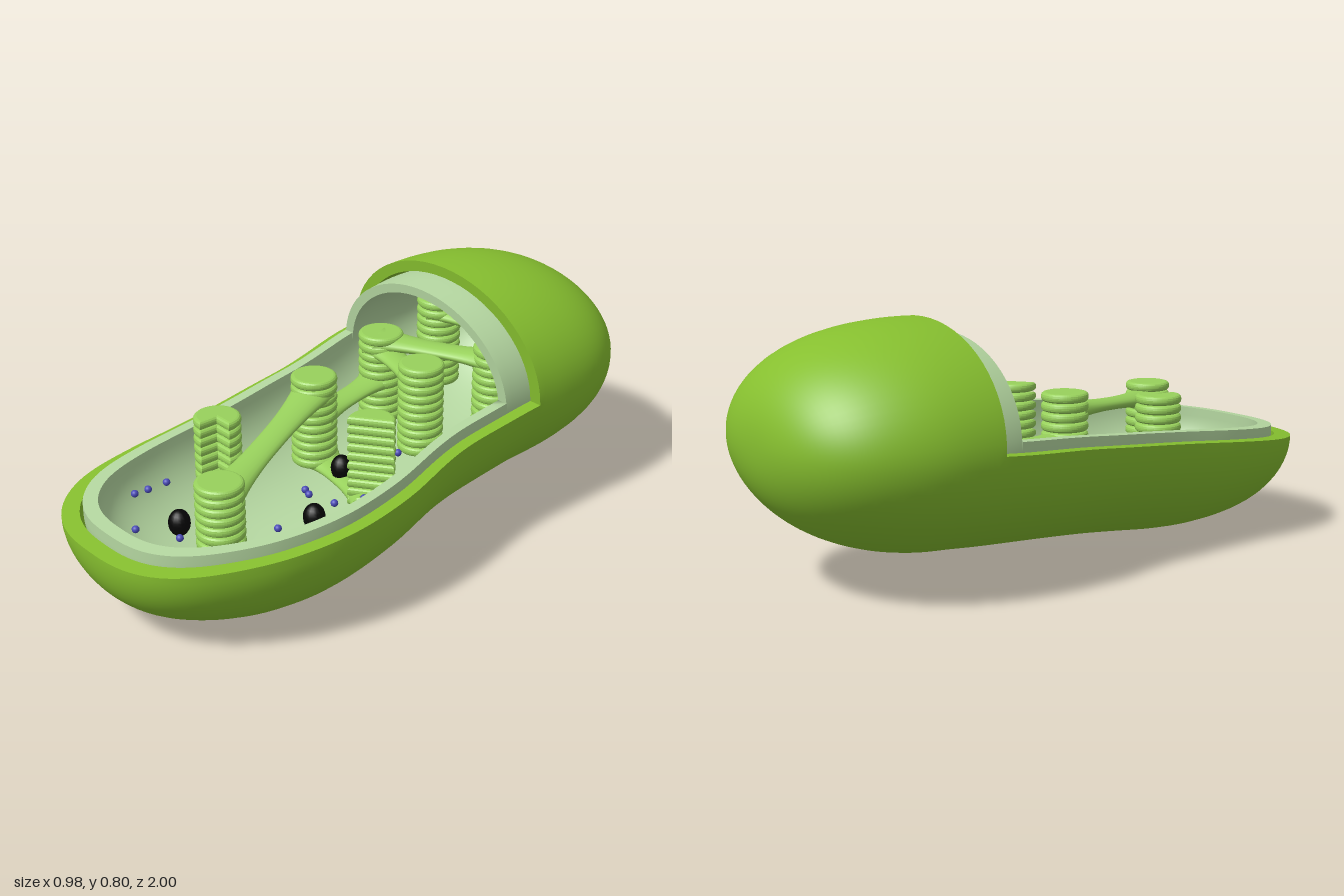
import * as THREE from 'three';
import { mergeVertices, mergeGeometries } from 'three/addons/utils/BufferGeometryUtils.js';

const mat = (color, side = THREE.FrontSide) =>
  new THREE.MeshStandardMaterial({ color, side, roughness: 0.8 });

// ---- bean-shaped body: centre line and half sizes along z ----
const bend = new THREE.SplineCurve(
  [-0.03, -0.035, -0.048, -0.05, -0.03, 0, 0.034, 0.049, 0.035, 0.008, 0]
    .map((x, i) => new THREE.Vector2(-1 + i * 0.2, x)));
const centreX = z => bend.getPoint(THREE.MathUtils.clamp((z + 1) / 2, 0, 1)).y;
const centreY = z => 0.397 - 0.097 * Math.max(z, -0.45) - 0.035 * Math.min(0, z + 0.45);

// 1 along the middle, rounding off to 0 at z = -1 and z = 1
function taper(z, back, front, p) {
  const u = z > front ? (z - front) / (1 - front) : z < back ? (back - z) / (1 + back) : 0;
  return Math.pow(Math.max(0, 1 - Math.pow(u, p)), 1 / p);
}

// half length, and half width and height, of the body shrunk by d
const halfLength = d => 1 - 1.45 * d;
function halfSize(z, d) {
  const s = z / halfLength(d);
  const waist = 0.443 - 0.025 * Math.exp(-Math.pow((z + 0.1) / 0.2, 2));
  const belly = 0.35 + 0.009 * THREE.MathUtils.smoothstep(z, 0, 0.5);
  return [
    waist * taper(s, -0.5, 0.3, 2.65) * (1 - 1.2 * d / 0.44),
    belly * taper(s, -0.45, 0.38, 2.22) * (1 - d / 0.35),
  ];
}

// point on the body; the upper half leans forward towards the cut and slightly sideways
function bodyPoint(z, a, d, cut, lift = 0) {
  const [w, h] = halfSize(z, d);
  const up = Math.max(0, Math.sin(a));
  const lean = z <= cut ? 0.08 * h * up * Math.pow((z + 1) / (cut + 1), 2) : 0;
  return [
    centreX(z) + w * Math.cos(a) + 0.04 * h * up,
    centreY(z) + h * Math.sin(a) + lift,
    z + lean,
  ];
}

// surface through rows of points
function skin(rows) {
  const n = rows[0].length, index = [];
  for (let i = 0; i < rows.length - 1; i++)
    for (let j = 0; j < n - 1; j++) {
      const a = i * n + j, b = a + 1, c = a + n, e = c + 1;
      index.push(a, b, c, b, e, c);
    }
  const g = new THREE.BufferGeometry();
  g.setAttribute('position', new THREE.Float32BufferAttribute(rows.flat(2), 3));
  g.setIndex(index);
  return g;
}

function smooth(...parts) {
  const g = mergeVertices(mergeGeometries(parts), 1e-5);
  g.computeVertexNormals();
  return g;
}

const steps = (n, fn) => Array.from({ length: n + 1 }, (_, i) => fn(i / n));
const ease = t => Math.sin(t * Math.PI / 2);

// a membrane: closed hood at the back, open trough in front, with thickness
function membrane(name, dOut, dIn, cut, lift, color) {
  const group = new THREE.Group();
  group.name = name;
  const material = mat(color, THREE.DoubleSide);
  const frontZ = (t, d) => cut + (halfLength(d) - cut) * ease(t);
  const wall = (d, inside) => {
    const hood = steps(32, t => {
      const z = cut - (halfLength(d) + cut) * ease(1 - t);
      return steps(64, u => bodyPoint(z, u * 2 * Math.PI, d, cut));
    });
    const trough = steps(48, t => {
      const z = frontZ(t, d);
      const row = steps(32, u => bodyPoint(z, Math.PI * (1 + u), d, cut));
      if (lift) {
        row.unshift(bodyPoint(z, Math.PI, d, cut, lift));
        row.push(bodyPoint(z, 2 * Math.PI, d, cut, lift));
      }
      return row;
    });
    if (inside) [...hood, ...trough].forEach(r => r.reverse());
    return smooth(skin(hood), skin(trough));
  };
  const edge = d => [
    ...steps(48, t => bodyPoint(frontZ(t, d), Math.PI, d, cut, lift)),
    ...steps(48, t => bodyPoint(frontZ(1 - t, d), 0, d, cut, lift)),
    ...steps(32, t => bodyPoint(cut, t * Math.PI, d, cut)),
    bodyPoint(cut, Math.PI, d, cut, lift),
  ];
  const rim = skin([edge(dOut), edge(dIn)]);
  rim.computeVertexNormals();
  for (const [part, g] of [['OuterWall', wall(dOut, false)], ['InnerWall', wall(dIn, true)], ['Rim', rim]]) {
    const m = new THREE.Mesh(g, material);
    m.name = name + part;
    group.add(m);
  }
  return group;
}

// round-edged disc, optionally only a sector of it
function discGeometry(start = 0, end = 2 * Math.PI) {
  const shape = new THREE.Shape();
  shape.absarc(0, 0, 0.063, start, end, false);
  if (end - start < 6) shape.lineTo(0, 0);
  const g = new THREE.ExtrudeGeometry(shape, {
    depth: 0.005, bevelThickness: 0.012, bevelSize: 0.012, bevelSegments: 3, curveSegments: 32,
  });
  return g.rotateX(-Math.PI / 2);
}

// flattened bridge that widens where it meets the stacks
function bridgeGeometry(from, to) {
  const a = new THREE.Vector3(...from), b = new THREE.Vector3(...to);
  const across = new THREE.Vector3(b.z - a.z, 0, a.x - b.x).normalize();
  return smooth(skin(steps(20, t => {
    const flare = Math.pow(Math.abs(2 * t - 1), 2.5);
    const p = a.clone().lerp(b, t), w = 0.045 + 0.028 * flare, h = 0.02 + 0.016 * flare;
    return steps(20, u => {
      const q = p.clone().addScaledVector(across, -w * Math.cos(u * 2 * Math.PI));
      return [q.x, q.y + h * Math.sin(u * 2 * Math.PI), q.z];
    });
  })));
}

export function createModel() {
  const model = new THREE.Group();
  model.name = 'chloroplast';
  model.add(membrane('outerMembrane', 0, 0.036, -0.455, 0, 0x86bf2f));
  model.add(membrane('innerMembrane', 0.043, 0.073, -0.355, 0.03, 0xb4d6a0));

  // stacks of discs: x, z, top height, kind of disc
  const discs = {
    whole: discGeometry(),
    notched: discGeometry(0, 1.5 * Math.PI),
    half: discGeometry(0.61, 0.61 + Math.PI),
  };
  const discMat = mat(0x98d15c);
  const stacks = [
    [0.145, 0.64, 0.465, 'whole'], [-0.165, 0.41, 0.485, 'notched'], [-0.127, 0.05, 0.525, 'whole'],
    [0.205, 0.1, 0.51, 'half'], [0.075, -0.23, 0.552, 'whole'], [-0.183, -0.29, 0.558, 'whole'],
    [-0.207, -0.58, 0.595, 'whole'], [0.07, -0.62, 0.592, 'whole'], [0.183, -0.46, 0.58, 'whole'],
  ];
  for (const [x, z, top, kind] of stacks) {
    const stack = new THREE.Group();
    stack.name = 'discStack';
    for (let i = 0; i < 10; i++) {
      const disc = new THREE.Mesh(discs[kind], discMat);
      disc.name = 'disc';
      disc.position.set(x, top - 0.017 - i * 0.031, z);
      stack.add(disc);
    }
    model.add(stack);
  }

  // bridges between stacks
  const bridgeMat = mat(0x98d15c, THREE.DoubleSide);
  const bridges = [
    [[-0.127, 0.465, 0.05], [0.145, 0.405, 0.64]],
    [[-0.183, 0.39, -0.29], [-0.127, 0.37, 0.05]],
    [[-0.183, 0.5, -0.29], [0.075, 0.48, -0.23]],
    [[-0.183, 0.525, -0.29], [0.183, 0.525, -0.46]],
    [[-0.127, 0.22, 0.03], [0.205, 0.22, 0.1]],
    [[-0.207, 0.54, -0.58], [0.07, 0.54, -0.62]],
  ];
  for (const [from, to] of bridges) {
    const bridge = new THREE.Mesh(bridgeGeometry(from, to), bridgeMat);
    bridge.name = 'bridge';
    model.add(bridge);
  }

  // loose grains floating in the trough
  const grains = (name, radius, stretch, color, spots) => {
    const g = new THREE.SphereGeometry(radius, 16, 12).scale(1, stretch, 1), m = mat(color);
    for (const [x, z] of spots) {
      const [w, h] = halfSize(z, 0.073);
      const u = (x - centreX(z)) / w;
      const grain = new THREE.Mesh(g, m);
      grain.name = name;
      grain.position.set(x, centreY(z) - 0.48 * h * Math.sqrt(Math.max(0, 1 - u * u)), z);
      model.add(grain);
    }
  };
  grains('largeGrain', 0.035, 1.25, 0x050505, [[-0.23, 0], [0.03, 0.07], [0.19, 0.32], [-0.08, 0.63]]);
  grains('smallGrain', 0.012, 1, 0x4a4ab8, [
    [-0.33, -0.04], [-0.3, 0.01], [-0.07, -0.13], [0.11, -0.1], [0.24, -0.05], [0, -0.01],
    [0.26, -0.29], [-0.2, 0.22], [0.04, 0.23], [0.07, 0.24], [0.18, 0.23], [0.33, 0.33],
    [0.15, 0.43], [-0.24, 0.56], [-0.15, 0.48], [-0.11, 0.49], [-0.1, 0.52], [-0.24, 0.63],
    [-0.24, 0.68], [-0.11, 0.77], [-0.01, 0.68], [0.13, 0.79], [0.24, -0.02], [0.25, 0.17],
  ]);
  return model;
}
